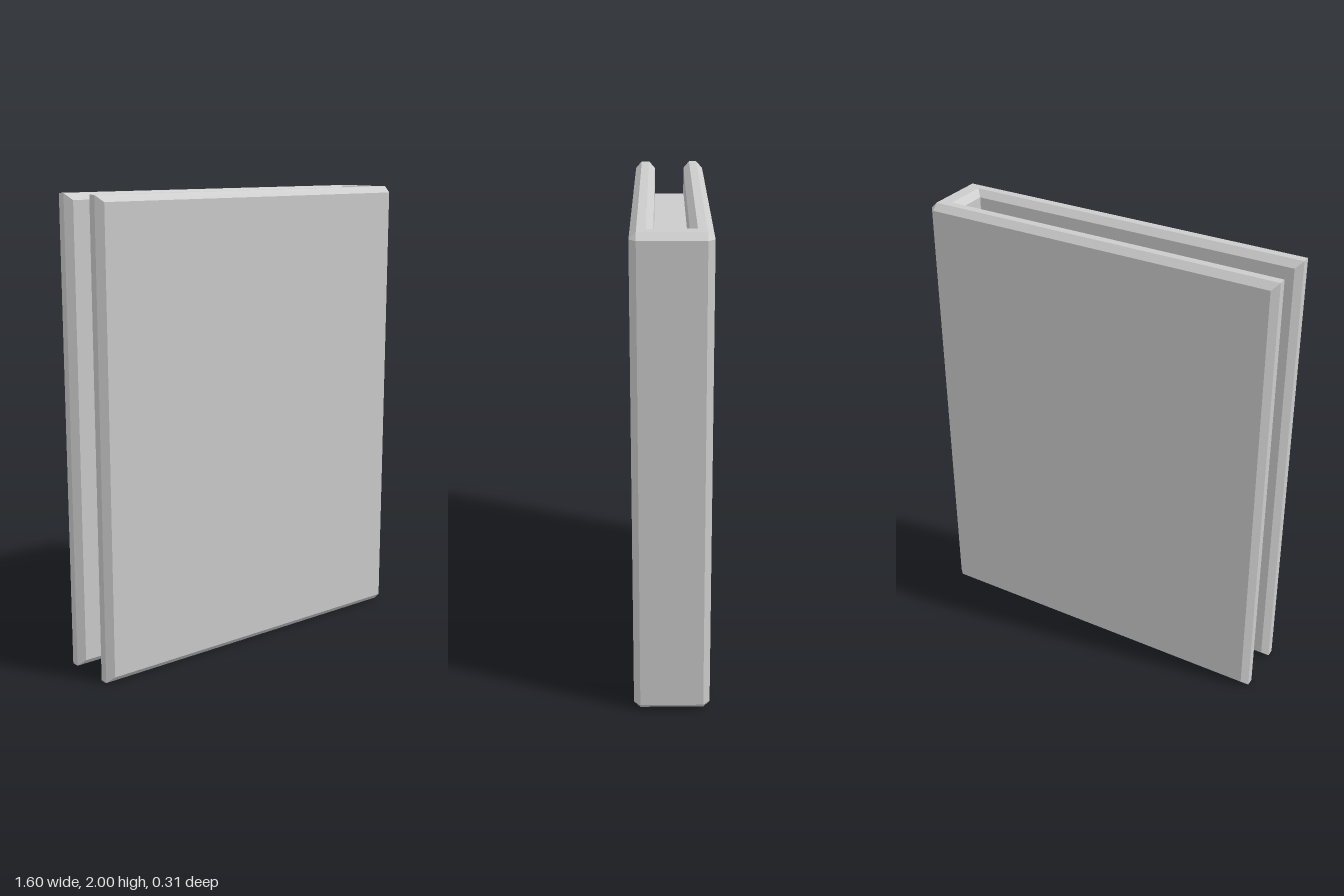
import * as THREE from 'three';

const HEIGHT = 2, BEVEL = 0.027;

// U-shaped cover outline as [x, z], counter-clockwise from above:
// full outline between the bevels, and inset outline at the top and bottom.
const FULL = [
  [-0.8, 0.13], [-0.773, 0.157], [0.773, 0.157], [0.8, 0.13],
  [0.8, -0.13], [0.773, -0.157], [-0.773, -0.157], [-0.8, -0.13],
  [-0.8, -0.095], [-0.773, -0.068], [0.69, -0.068],
  [0.69, 0.068], [-0.773, 0.068], [-0.8, 0.095],
];
const INSET = [
  [-0.8, 0.13], [-0.8, 0.13], [0.773, 0.13], [0.773, 0.13],
  [0.773, -0.13], [0.773, -0.13], [-0.8, -0.13], [-0.8, -0.13],
  [-0.8, -0.095], [-0.8, -0.095], [0.717, -0.095],
  [0.717, 0.095], [-0.8, 0.095], [-0.8, 0.095],
];

function coverGeometry() {
  const positions = [];
  const ring = (outline, y) => outline.map(([x, z]) => new THREE.Vector3(x, y, z));
  const triangle = (a, b, c) => {
    if (new THREE.Triangle(a, b, c).getArea() < 1e-9) return;
    for (const p of [a, b, c]) positions.push(p.x, p.y, p.z);
  };
  const quad = (a, b, c, d) => { triangle(a, b, c); triangle(a, c, d); };

  // Walls and bevels, lofted from bottom to top
  const rings = [
    ring(INSET, 0), ring(FULL, BEVEL), ring(FULL, HEIGHT - BEVEL), ring(INSET, HEIGHT),
  ];
  for (let r = 0; r < rings.length - 1; r++) {
    const low = rings[r], high = rings[r + 1];
    for (let i = 0; i < low.length; i++) {
      const j = (i + 1) % low.length;
      quad(low[i], low[j], high[j], high[i]);
    }
  }

  // Flat rims: front board, spine, back board
  const bottom = rings[0], top = rings[3];
  for (const [a, b, c, d] of [[0, 2, 11, 12], [2, 4, 10, 11], [4, 6, 9, 10]]) {
    quad(top[a], top[b], top[c], top[d]);
    quad(bottom[d], bottom[c], bottom[b], bottom[a]);
  }

  const geometry = new THREE.BufferGeometry();
  geometry.setAttribute('position', new THREE.Float32BufferAttribute(positions, 3));
  geometry.computeVertexNormals();
  return geometry;
}

export function createModel() {
  const book = new THREE.Group();
  book.name = 'book';
  const material = new THREE.MeshStandardMaterial({ color: 0xcccccc, flatShading: true });

  // Bevelled cover, open at the fore edge
  const cover = new THREE.Mesh(coverGeometry(), material);
  cover.name = 'cover';

  // Page block, recessed at the fore edge, top and bottom
  const pages = new THREE.Mesh(new THREE.BoxGeometry(1.385, HEIGHT - 0.27, 0.138), material);
  pages.name = 'pages';
  pages.position.y = HEIGHT / 2;

  book.add(cover, pages);
  return book;
}
